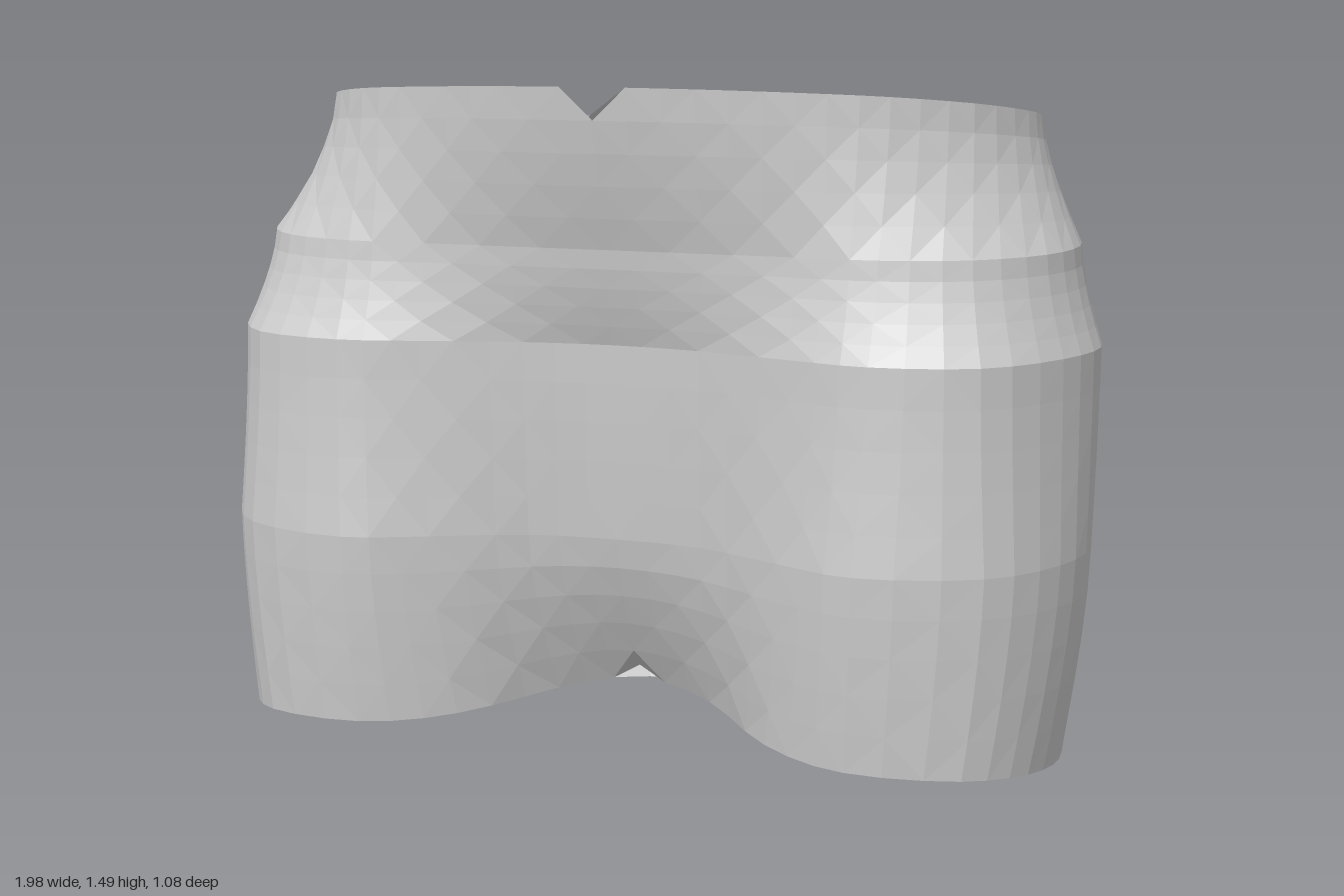
import * as THREE from 'three';

// Each section: base height, slope of height with depth, and half outline
// as x, z pairs from the front centre round the left side to the back centre.
const waist = { y: 1.427, slope: 0.117, pts: [0, 0.5, 0.22, 0.48, 0.42, 0.43, 0.6, 0.35, 0.74, 0.2, 0.81, 0, 0.81, -0.15, 0.74, -0.34, 0.58, -0.47, 0.37, -0.54, 0.18, -0.53, 0, -0.49] };
const hip = { y: 1.14, slope: 0, pts: [0, 0.43, 0.22, 0.43, 0.42, 0.43, 0.6, 0.43, 0.78, 0.36, 0.9, 0.2, 0.93, 0, 0.87, -0.2, 0.75, -0.36, 0.57, -0.48, 0.35, -0.525, 0, -0.46] };
const crease = { y: 0.93, slope: 0, pts: [0, 0.38, 0.2, 0.4, 0.42, 0.46, 0.6, 0.5, 0.82, 0.44, 0.95, 0.25, 0.99, 0.05, 0.92, -0.15, 0.75, -0.31, 0.55, -0.38, 0.25, -0.34, 0, -0.3] };
const thigh = { y: 0.5, slope: 0, pts: [0, 0.36, 0.2, 0.38, 0.4, 0.47, 0.58, 0.54, 0.84, 0.46, 0.96, 0.28, 0.985, 0.08, 0.9, -0.12, 0.75, -0.27, 0.54, -0.34, 0.25, -0.25, 0, -0.21] };
const hem = { y: 0.022, slope: 0.1, pts: [0, 0.22, 0.18, 0.26, 0.36, 0.42, 0.56, 0.51, 0.8, 0.46, 0.91, 0.32, 0.935, 0.12, 0.87, -0.1, 0.72, -0.2, 0.54, -0.235, 0.25, -0.11, 0, -0.06] };
const sections = [waist, hip, crease, thigh, hem];

const STEPS = 5;      // rows between neighbouring sections
const COLUMNS = 66;   // facets around

// Mirrored, smoothed closed ring through a half outline
function ring({ y, slope, pts }, lift) {
  const half = [];
  for (let i = 0; i < pts.length; i += 2) half.push(new THREE.Vector3(pts[i], 0, pts[i + 1]));
  const mirrored = half.slice(1, -1).reverse().map((p) => new THREE.Vector3(-p.x, 0, p.z));
  const curve = new THREE.CatmullRomCurve3([...half, ...mirrored], true, 'centripetal');
  return Array.from({ length: COLUMNS }, (_, j) => {
    const p = curve.getPoint(j / COLUMNS);
    p.y = y + slope * p.z + lift * Math.exp(-((p.x / 0.3) ** 2)) * (p.z > 0 ? 0.11 : 0.065);
    return p;
  });
}

// Blend of two sections; the outline eases in so the seat rounds under
function blend(a, b, t) {
  const e = t ** 1.5;
  const mix = THREE.MathUtils.lerp;
  return {
    y: mix(a.y, b.y, t),
    slope: mix(a.slope, b.slope, t),
    pts: a.pts.map((v, i) => mix(v, b.pts[i], e)),
  };
}

function garmentGeometry() {
  const rows = [];
  for (let s = 0; s < sections.length - 1; s++) {
    const last = s === sections.length - 2;
    for (let k = s ? 1 : 0; k <= STEPS; k++) {
      const t = k / STEPS;
      rows.push(ring(blend(sections[s], sections[s + 1], t), last ? t : 0));
    }
  }
  // Small nick at the front of the waist and the hem
  rows[0][0].y -= 0.06;
  rows[0][0].z += 0.015;
  rows[rows.length - 1][0].y += 0.03;

  const positions = rows.flat().flatMap((p) => [p.x, p.y, p.z]);
  const index = [];
  for (let i = 0; i < rows.length - 1; i++) {
    for (let j = 0; j < COLUMNS; j++) {
      const n = (j + 1) % COLUMNS;
      const a = i * COLUMNS + j, d = i * COLUMNS + n;
      const b = a + COLUMNS, c = d + COLUMNS;
      // Alternate diagonals for an even faceted cloth
      if ((i + j) % 2) index.push(a, b, c, a, c, d);
      else index.push(a, b, d, b, c, d);
    }
  }
  const geometry = new THREE.BufferGeometry();
  geometry.setAttribute('position', new THREE.Float32BufferAttribute(positions, 3));
  geometry.setIndex(index);
  geometry.computeVertexNormals();
  return geometry;
}

export function createModel() {
  const group = new THREE.Group();
  group.name = 'skirt';
  const cloth = new THREE.MeshStandardMaterial({ color: 0xcccccc, flatShading: true, side: THREE.DoubleSide });
  const shell = new THREE.Mesh(garmentGeometry(), cloth);
  shell.name = 'clothShell';
  group.add(shell);
  return group;
}
